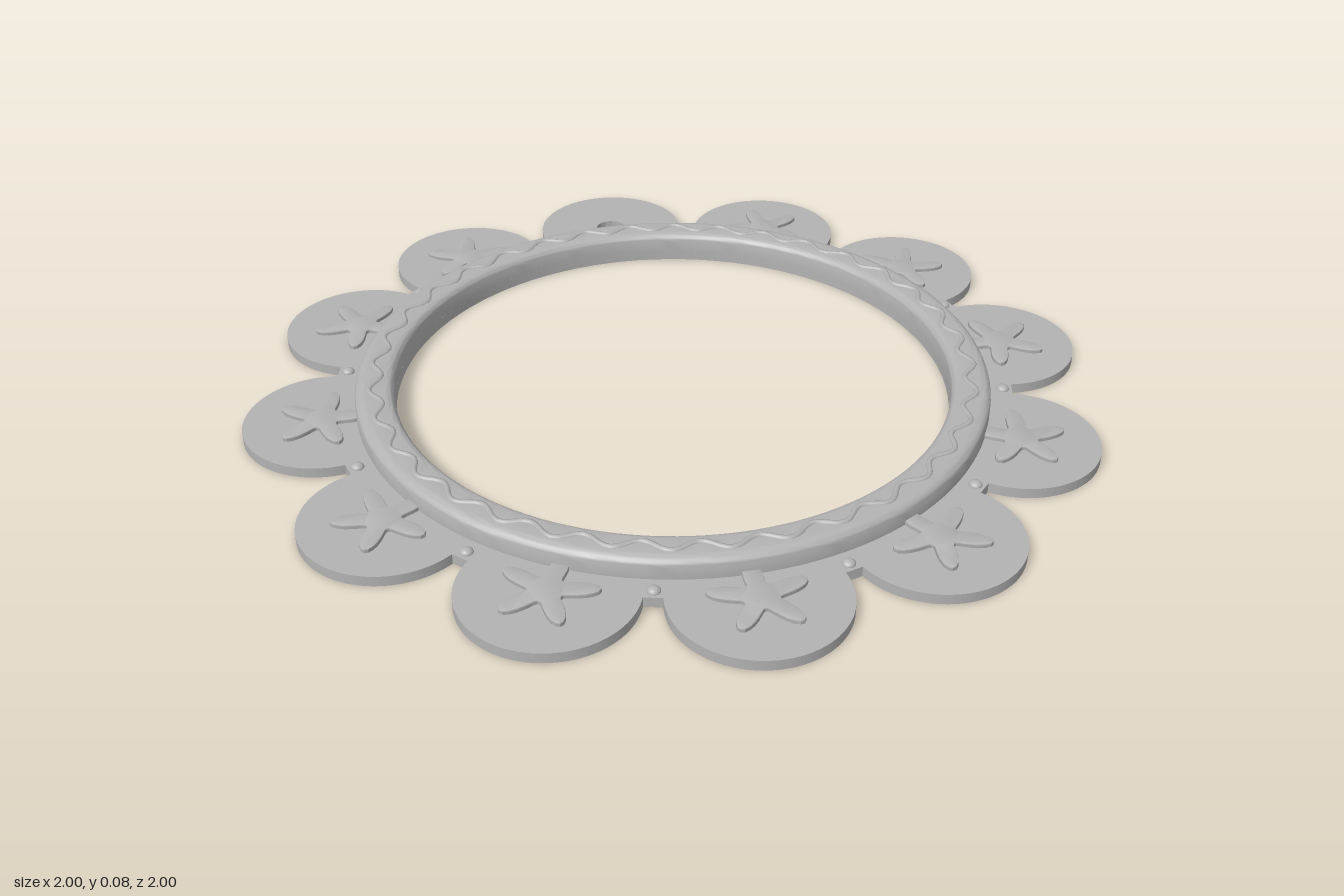
import * as THREE from 'three';
import { toCreasedNormals } from 'three/addons/utils/BufferGeometryUtils.js';

const PETALS = 12, PETAL_DIST = 0.81, PETAL_R = 0.19, DISC_R = 0.80;
const INNER_R = 0.652, PLATE_H = 0.024;

export function createModel() {
  const grey = new THREE.MeshStandardMaterial({ color: 0xb3b3b3, side: THREE.DoubleSide });
  grey.name = 'plain grey';
  const model = new THREE.Group();
  model.name = 'flowerFrame';

  const add = (name, geometry, parent = model) => {
    const mesh = new THREE.Mesh(geometry, grey);
    mesh.name = name;
    parent.add(mesh);
    return mesh;
  };
  const circleHole = (x, y, r) => new THREE.Path().absarc(x, y, r, 0, Math.PI * 2, true);
  const extrudeUp = (shape, options) =>
    toCreasedNormals(new THREE.ExtrudeGeometry(shape, options).rotateX(-Math.PI / 2), 0.5);

  // Scalloped plate: twelve round petals joined at the disc between them
  const outline = new THREE.Shape();
  const alpha = Math.acos((DISC_R ** 2 + PETAL_DIST ** 2 - PETAL_R ** 2) / (2 * DISC_R * PETAL_DIST));
  const beta = Math.atan2(DISC_R * Math.sin(alpha), DISC_R * Math.cos(alpha) - PETAL_DIST);
  for (let i = 0; i < PETALS; i++) {
    const a = (i / PETALS) * Math.PI * 2;
    outline.absarc(PETAL_DIST * Math.cos(a), PETAL_DIST * Math.sin(a), PETAL_R, a - beta, a + beta, false);
  }
  outline.closePath();
  outline.holes.push(circleHole(0, 0, INNER_R), circleHole(0, PETAL_DIST, 0.04));

  // Three blind sockets under the ring
  const socketProfile = [[0.022, PLATE_H], [0.022, 0.055], [0, 0.055]].map(p => new THREE.Vector2(...p));
  for (let i = 0; i < 3; i++) {
    const a = Math.PI / 2 + (i * Math.PI * 2) / 3;
    const x = 0.70 * Math.cos(a), y = 0.70 * Math.sin(a);
    outline.holes.push(circleHole(x, y, 0.022));
    const socket = add('socket', toCreasedNormals(new THREE.LatheGeometry(socketProfile, 24), 0.5));
    socket.position.set(x, 0, -y);
  }
  add('petalPlate', extrudeUp(outline, { depth: PLATE_H, bevelEnabled: false, curveSegments: 48 }));

  // Raised ring with rounded shoulders
  const profile = [new THREE.Vector2(0.743, PLATE_H)];
  const shoulder = (cx, cy, rx, ry, from) => {
    for (let i = 0; i <= 6; i++) {
      const a = from + (i / 6) * (Math.PI / 2);
      profile.push(new THREE.Vector2(cx + rx * Math.cos(a), cy + ry * Math.sin(a)));
    }
  };
  shoulder(0.718, 0.053, 0.025, 0.02, 0);
  shoulder(0.672, 0.053, 0.02, 0.02, Math.PI / 2);
  profile.push(new THREE.Vector2(INNER_R, PLATE_H));
  add('ring', toCreasedNormals(new THREE.LatheGeometry(profile, 128), 0.6));

  // Wavy cord lying on the ring
  const wave = [];
  for (let i = 0; i < 288; i++) {
    const a = (i / 288) * Math.PI * 2;
    const r = 0.696 + 0.014 * Math.sin(36 * a);
    wave.push(new THREE.Vector3(r * Math.cos(a), 0.071, r * Math.sin(a)));
  }
  add('wavyCord', new THREE.TubeGeometry(new THREE.CatmullRomCurve3(wave, true), 432, 0.007, 8, true));

  // Starfish with rounded arms, one on every petal but the pierced one
  const star = new THREE.Shape();
  for (let i = 0; i < 80; i++) {
    const a = (i / 80) * Math.PI * 2;
    const r = 0.04 + 0.07 * ((1 + Math.cos(5 * a)) / 2) ** 1.4;
    const x = r * Math.sin(a), y = r * Math.cos(a);
    if (i) star.lineTo(x, y); else star.moveTo(x, y);
  }
  star.closePath();
  const starGeometry = extrudeUp(star, {
    depth: 0.008, bevelThickness: 0.003, bevelSize: 0.003, bevelOffset: -0.003, bevelSegments: 2,
  });
  const beadGeometry = new THREE.SphereGeometry(0.015, 16, 8, 0, Math.PI * 2, 0, Math.PI / 2);

  for (let i = 0; i < PETALS; i++) {
    const a = (i / PETALS) * Math.PI * 2;
    if (i !== PETALS / 2) {
      const starfish = add('starfish', starGeometry);
      starfish.position.set(0.82 * Math.sin(a), PLATE_H - 0.001, 0.82 * Math.cos(a));
      starfish.rotation.y = a;
    }
    // Small bead in each gap between petals
    const b = a + Math.PI / PETALS;
    const bead = add('gapBead', beadGeometry);
    bead.position.set(0.778 * Math.sin(b), PLATE_H, 0.778 * Math.cos(b));
    bead.scale.y = 0.7;
  }
  return model;
}
